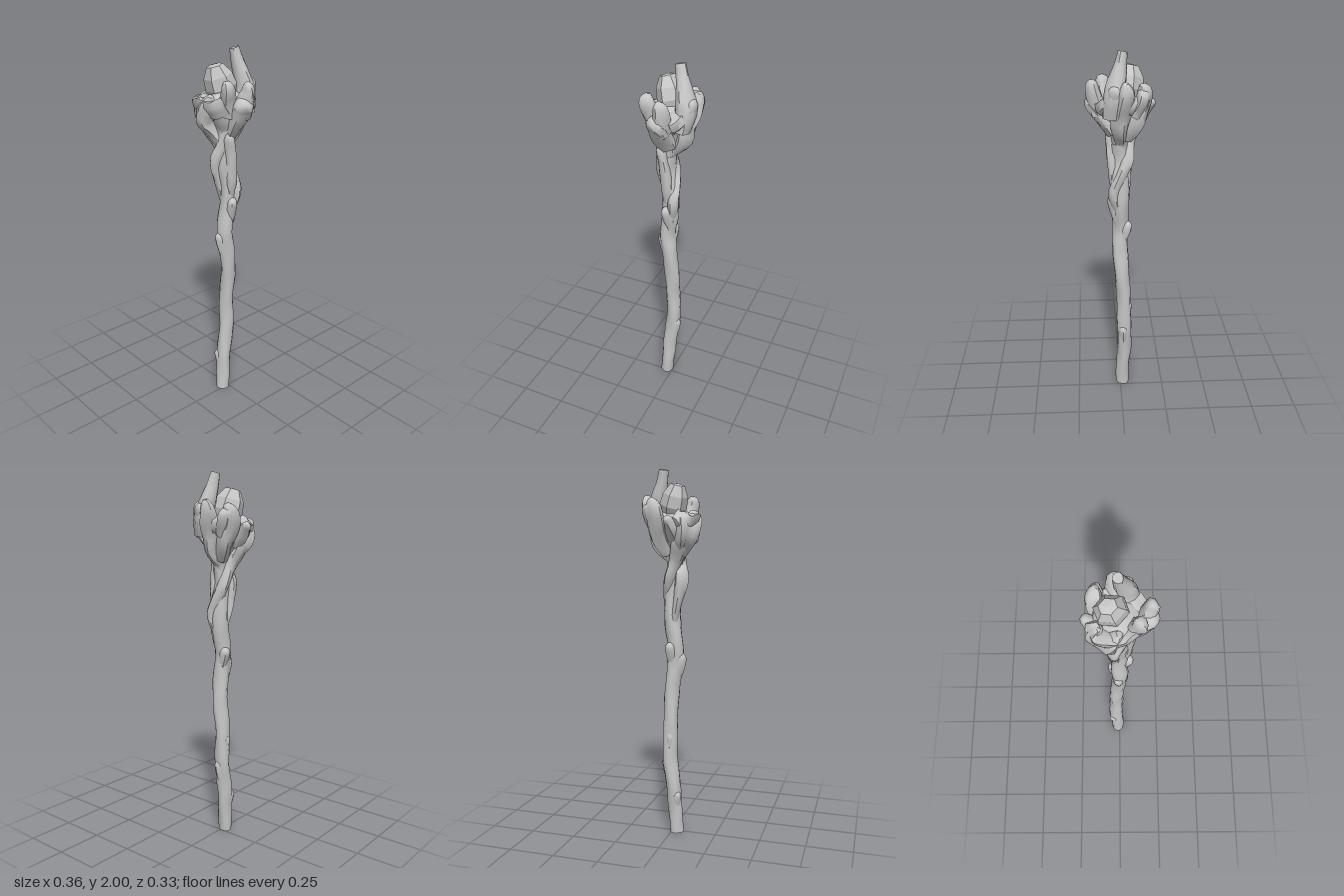
import * as THREE from 'three';
import { toCreasedNormals } from 'three/addons/utils/BufferGeometryUtils.js';

const wood = new THREE.MeshStandardMaterial({ color: 0xc6c6c6 });
wood.name = 'pale grey wood';

// Gnarled branch: a closed tube through points [x, y, z, radius]
function limb(name, pts, { rings = 14, sides = 9, gnarl = 0.1, blunt = false } = {}) {
  const path = new THREE.CatmullRomCurve3(pts.map(p => new THREE.Vector3(p[0], p[1], p[2])), false, 'catmullrom');
  const girth = new THREE.CatmullRomCurve3(pts.map(p => new THREE.Vector3(p[3], 0, 0)), false, 'catmullrom');
  const span = path.getPoint(1).sub(path.getPoint(0)).normalize();
  const ref = Math.abs(span.z) > 0.6 ? new THREE.Vector3(1, 0, 0) : new THREE.Vector3(0, 0, 1);
  const phase = pts[0][0] * 40 + pts[0][2] * 70;
  const pos = [], index = [];
  for (let i = 0; i <= rings; i++) {
    const t = i / rings;
    const c = path.getPoint(t), T = path.getTangent(t);
    const tip = blunt ? 1 : 1 - 0.5 * Math.max(0, (t - 0.8) / 0.2) ** 2;
    const r = girth.getPoint(t).x * tip;
    const N = ref.clone().addScaledVector(T, -ref.dot(T)).normalize();
    const B = T.clone().cross(N);
    for (let j = 0; j < sides; j++) {
      const a = (j / sides) * Math.PI * 2;
      const k = r * (1 + gnarl * Math.sin(3 * a + c.y * 14 + phase) + gnarl * 0.6 * Math.sin(2 * a - c.y * 31));
      const v = c.clone().addScaledVector(N, Math.cos(a) * k).addScaledVector(B, Math.sin(a) * k);
      pos.push(v.x, v.y, v.z);
    }
  }
  for (let i = 0; i < rings; i++) {
    for (let j = 0; j < sides; j++) {
      const n = (j + 1) % sides;
      const a = i * sides + j, b = i * sides + n, c = a + sides, d = b + sides;
      index.push(a, b, c, b, d, c);
    }
  }
  // end caps
  const s = path.getPoint(0), e = path.getPoint(1), m = pos.length / 3;
  pos.push(s.x, s.y, s.z, e.x, e.y, e.z);
  for (let j = 0; j < sides; j++) {
    const n = (j + 1) % sides;
    index.push(m, n, j, m + 1, rings * sides + j, rings * sides + n);
  }
  const g = new THREE.BufferGeometry();
  g.setAttribute('position', new THREE.Float32BufferAttribute(pos, 3));
  g.setIndex(index);
  const mesh = new THREE.Mesh(toCreasedNormals(g, 1.0), wood);
  mesh.name = name;
  return mesh;
}

export function createModel() {
  const staff = new THREE.Group();
  staff.name = 'staff';

  // Long crooked shaft
  staff.add(limb('shaft', [
    [-0.012, 0.004, 0.033, 0.037], [-0.014, 0.12, 0.025, 0.039], [-0.02, 0.25, 0.015, 0.041],
    [-0.02, 0.43, -0.006, 0.041], [-0.018, 0.6, -0.004, 0.04], [-0.004, 0.78, -0.004, 0.041],
    [0.002, 0.93, 0.012, 0.043], [0.0, 1.04, 0.022, 0.044], [0.0, 1.18, 0.002, 0.044],
    [0.004, 1.3, 0.0, 0.046], [0.0, 1.42, 0.02, 0.046], [0.004, 1.52, 0.02, 0.048]
  ], { rings: 60, sides: 12, gnarl: 0.065, blunt: true }));

  // Twig stubs swelling out of the shaft: root, bud, radius
  [
    [[-0.02, 0.12, 0.025], [-0.046, 0.245, 0.042], 0.021],
    [[-0.018, 0.29, 0.0], [-0.012, 0.435, -0.03], 0.026],
    [[-0.005, 0.64, -0.006], [0.0, 0.765, -0.03], 0.018],
    [[-0.02, 0.42, 0.0], [-0.046, 0.58, 0.0], 0.02],
    [[0.0, 0.86, 0.015], [-0.008, 1.02, 0.06], 0.026],
    [[0.0, 0.95, 0.01], [-0.043, 1.08, -0.005], 0.026],
    [[0.01, 1.08, 0.0], [0.054, 1.225, 0.012], 0.025]
  ].forEach(([a, b, r]) => {
    const mid = a.map((v, i) => v + (b[i] - v) * 0.6);
    staff.add(limb('twigStub', [[...a, r], [...mid, r * 1.15], [...b, r]], { rings: 9, sides: 8, gnarl: 0.06 }));
  });

  // Strands twisting round the neck
  staff.add(
    limb('backStrand', [
      [0.015, 1.14, -0.01, 0.018], [0.038, 1.25, -0.027, 0.028], [0.004, 1.34, -0.022, 0.031],
      [-0.032, 1.43, -0.004, 0.033], [-0.042, 1.52, 0.028, 0.034], [-0.075, 1.61, 0.065, 0.042],
      [-0.1, 1.7, 0.08, 0.045]], { rings: 26 }),
    limb('frontStrand', [
      [-0.02, 1.2, 0.015, 0.02], [-0.027, 1.32, 0.04, 0.028], [-0.026, 1.43, 0.06, 0.036],
      [0.008, 1.51, 0.045, 0.03], [0.035, 1.6, 0.02, 0.038], [0.07, 1.69, 0.02, 0.045]], { rings: 26 }),
    limb('rightStrand', [
      [0.012, 1.2, 0.0, 0.02], [0.034, 1.31, 0.008, 0.028], [0.042, 1.4, 0.012, 0.029],
      [0.046, 1.49, 0.025, 0.028], [0.052, 1.555, 0.035, 0.026], [0.042, 1.59, 0.04, 0.017]], { rings: 22 })
  );

  // Flaring burl that holds the crystal
  staff.add(limb('burl', [
    [0.0, 1.44, 0.02, 0.042], [0.0, 1.52, 0.018, 0.046], [0.0, 1.59, 0.005, 0.062],
    [-0.005, 1.66, 0.008, 0.09], [-0.005, 1.73, 0.01, 0.112], [-0.005, 1.785, 0.01, 0.1]
  ], { rings: 18, sides: 14, gnarl: 0.09 }));

  // Front lip and the heavy lumps beneath it
  staff.add(
    limb('frontLip', [
      [-0.115, 1.75, 0.04, 0.034], [-0.1, 1.715, 0.09, 0.045], [-0.045, 1.725, 0.115, 0.045],
      [0.02, 1.715, 0.1, 0.045], [0.075, 1.74, 0.07, 0.045]], { rings: 18, gnarl: 0.18, blunt: true }),
    limb('frontRoot', [
      [-0.01, 1.52, 0.04, 0.025], [-0.05, 1.595, 0.075, 0.042], [-0.06, 1.65, 0.106, 0.053],
      [-0.03, 1.71, 0.117, 0.047], [0.0, 1.775, 0.115, 0.035]], { gnarl: 0.16 }),
    limb('frontBulge', [
      [-0.04, 1.56, 0.04, 0.03], [-0.085, 1.63, 0.075, 0.045], [-0.1, 1.69, 0.085, 0.045],
      [-0.095, 1.77, 0.075, 0.035]], { gnarl: 0.16 })
  );

  // Prongs round the rim
  staff.add(
    limb('rightProng', [
      [0.03, 1.58, 0.005, 0.045], [0.085, 1.665, 0.015, 0.052], [0.128, 1.725, 0.02, 0.05],
      [0.168, 1.755, 0.035, 0.04]], { gnarl: 0.12 }),
    limb('rightTip', [
      [0.1, 1.68, 0.0, 0.045], [0.13, 1.76, -0.002, 0.042], [0.142, 1.81, -0.005, 0.034],
      [0.148, 1.85, 0.005, 0.024]], { rings: 10, gnarl: 0.12 }),
    limb('frontRightProng', [
      [0.05, 1.69, 0.05, 0.05], [0.075, 1.76, 0.07, 0.04], [0.092, 1.815, 0.084, 0.036],
      [0.082, 1.858, 0.085, 0.028]], { rings: 10, gnarl: 0.12 }),
    limb('leftProng', [
      [-0.06, 1.64, 0.035, 0.045], [-0.11, 1.69, 0.035, 0.042], [-0.15, 1.725, 0.022, 0.027],
      [-0.172, 1.738, 0.015, 0.02]], { rings: 10 }),
    limb('backLeftProng', [
      [-0.02, 1.56, -0.015, 0.04], [-0.07, 1.66, -0.05, 0.05], [-0.11, 1.74, -0.055, 0.043],
      [-0.118, 1.79, -0.062, 0.04], [-0.105, 1.84, -0.085, 0.032]], { gnarl: 0.15 }),
    limb('backLeftFork', [
      [-0.07, 1.69, -0.06, 0.045], [-0.1, 1.755, -0.085, 0.04], [-0.11, 1.815, -0.1, 0.034]], { rings: 9, gnarl: 0.14 }),
    limb('backProng', [
      [0.0, 1.53, 0.0, 0.03], [0.008, 1.605, -0.064, 0.04], [0.0, 1.68, -0.08, 0.046],
      [-0.015, 1.76, -0.105, 0.048], [-0.02, 1.815, -0.126, 0.04], [-0.016, 1.86, -0.14, 0.026]], { gnarl: 0.14 }),
    limb('backWall', [
      [0.08, 1.71, -0.02, 0.055], [0.04, 1.74, -0.075, 0.055], [-0.04, 1.74, -0.08, 0.05],
      [-0.09, 1.74, -0.045, 0.045]], { rings: 12, gnarl: 0.12 }),
    limb('spike', [
      [0.045, 1.68, -0.07, 0.05], [0.037, 1.78, -0.09, 0.052], [0.02, 1.86, -0.076, 0.044],
      [0.005, 1.93, -0.058, 0.032], [-0.006, 1.994, -0.045, 0.025]], { gnarl: 0.07, blunt: true }),
    limb('spikeKnot', [
      [0.03, 1.72, -0.08, 0.035], [0.035, 1.79, -0.108, 0.035], [0.03, 1.84, -0.128, 0.026]], { rings: 9, gnarl: 0.12 })
  );

  // Broad-faceted crystal in the cup
  const profile = [[0, 1.72], [0.055, 1.74], [0.081, 1.8], [0.074, 1.86], [0.042, 1.915], [0, 1.922]];
  const gem = new THREE.LatheGeometry(profile.map(p => new THREE.Vector2(p[0], p[1] - 1.82)), 6);
  const facets = gem.toNonIndexed();
  facets.computeVertexNormals();
  const crystal = new THREE.Mesh(facets, wood);
  crystal.name = 'crystal';
  crystal.scale.set(1.04, 1, 0.9);
  crystal.position.set(-0.037, 1.82, 0.02);
  crystal.rotation.set(0.22, 0.35, 0.14);
  staff.add(crystal);

  return staff;
}
